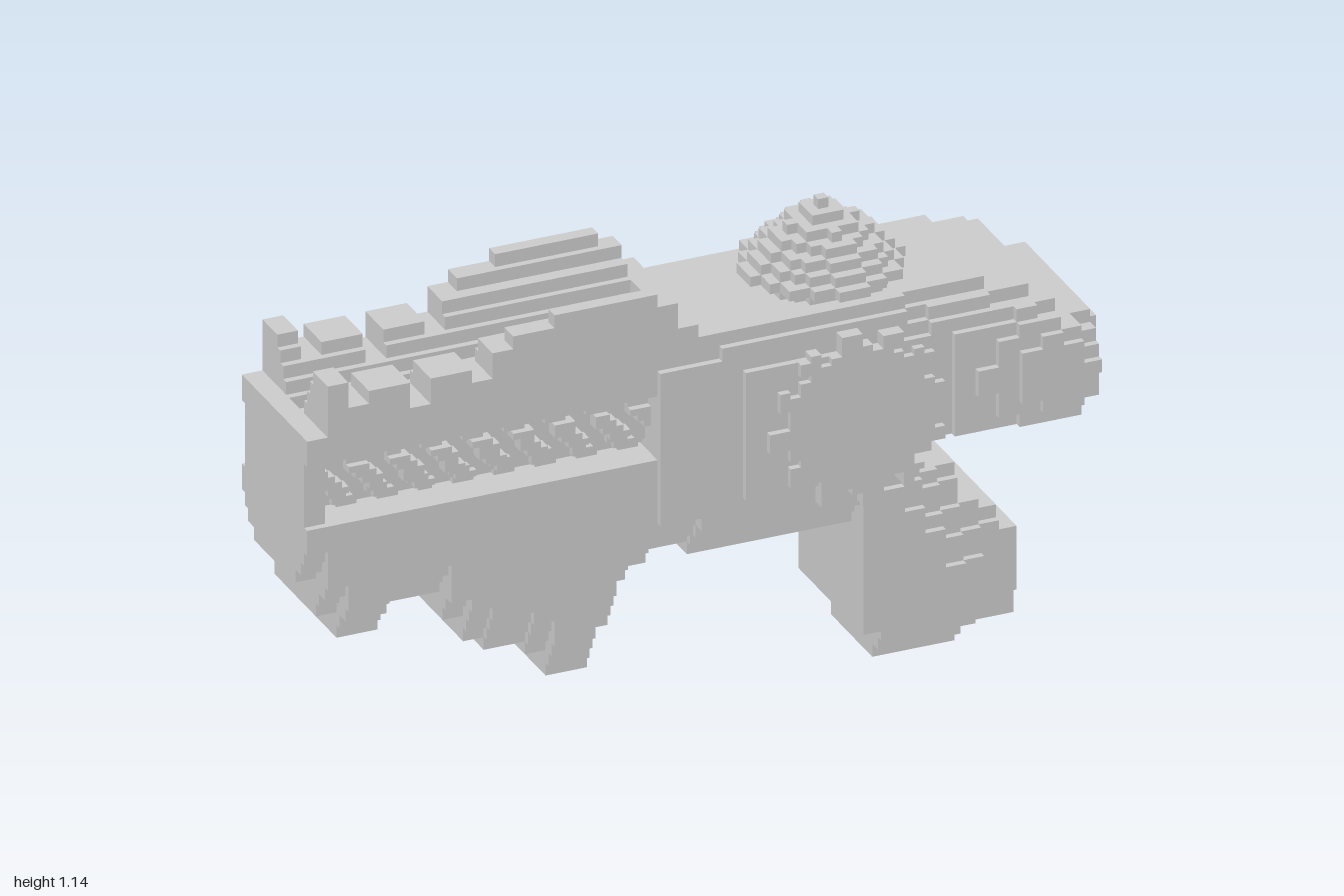
import * as THREE from 'three';
import { mergeGeometries } from 'three/addons/utils/BufferGeometryUtils.js';

const DX = 2 / 39, DY = 1.14 / 35, DZ = 1 / 60;
const clamp = (v) => Math.min(1, Math.max(0, v));
const ramp = (v, a, b) => clamp((v - a) / (b - a));
// Stepped profile: list of [x where the step ends, height]
const step = (list, x) => (list.find((s) => x < s[0]) || list[list.length - 1])[1];

const material = new THREE.MeshStandardMaterial({ color: 0xcccccc, flatShading: true });

// Fills a block grid. fn(x, y) gives [inner, outer] half depth in z, or null for empty.
// Equal neighbours along x join into one box; hollow cells are mirrored in z.
function blocks(name, [x0, x1, dx], [y0, y1, dy], fn) {
  const geos = [];
  const add = (a, b, y, za, zb) => geos.push(
    new THREE.BoxGeometry(b - a, dy, zb - za).translate((a + b) / 2, y, (za + zb) / 2));
  const nx = Math.round((x1 - x0) / dx), ny = Math.round((y1 - y0) / dy);
  for (let j = 0; j < ny; j++) {
    const y = y0 + (j + 0.5) * dy;
    let start = 0, last = null;
    for (let i = 0; i <= nx; i++) {
      const cell = i < nx ? fn(x0 + (i + 0.5) * dx, y) : null;
      const q = cell && cell.map((d) => Math.round(d / DZ) * DZ);
      if (String(q) === String(last)) continue;
      if (last && last[1] > last[0]) {
        const a = x0 + start * dx, b = x0 + i * dx;
        if (last[0] > 0) {
          add(a, b, y, last[0], last[1]);
          add(a, b, y, -last[1], -last[0]);
        } else add(a, b, y, -last[1], last[1]);
      }
      start = i;
      last = q;
    }
  }
  const mesh = new THREE.Mesh(mergeGeometries(geos), material);
  mesh.name = name;
  return mesh;
}

const bodyTop = [[-0.95, 0.88], [-0.9, 1.0], [-0.85, 0.945], [-0.74, 0.975], [-0.69, 0.91],
  [-0.58, 0.975], [-0.53, 0.93], [-0.47, 1.0], [-0.37, 1.04], [-0.14, 1.07], [-0.09, 1.04],
  [-0.03, 0.975], [0.7, 0.945], [0.78, 0.912], [0.83, 0.88], [0.88, 0.83], [0.945, 0.8], [1, 0.735]];
const bodyBottom = [[-0.95, 0.49], [-0.89, 0.4], [-0.79, 0.34], [-0.63, 0.4], [-0.57, 0.31],
  [-0.52, 0.25], [-0.46, 0.22], [-0.41, 0.19], [-0.36, 0.16], [-0.3, 0.13], [-0.25, 0.22],
  [-0.2, 0.34], [-0.14, 0.37], [-0.04, 0.4], [0.38, 0.37], [0.45, 0.42], [0.56, 0.54],
  [0.89, 0.585], [1, 0.62]];

function bodyDepth(x, y) {
  const top = step(bodyTop, x), bottom = step(bodyBottom, x);
  if (y > top || y < bottom) return null;
  if (x > 0.95) return [0, 0.1];
  let inner = 0, outer = 0.18;
  // chamfer along the underside
  if (x < 0.5) outer -= 0.065 * (1 - ramp(y, bottom, bottom + 0.1));
  // swelling toward the middle, then the bulged tail
  outer += 0.03 * ramp(x, -0.3, 0.08) * ramp(y, 0.42, 0.52) * (1 - ramp(y, 0.84, 0.94));
  if (x > 0.5) {
    const bulge = clamp(1 - ((y - 0.72) / 0.21) ** 2);
    outer += 0.065 * ramp(x, 0.5, 0.83) * bulge;
    if (x > 0.88) outer -= 0.03 + 0.07 * ramp(y, 0.72, 0.82);
    else outer -= 0.03 * (1 - ramp(top - y, 0, 0.06));
  }
  // side slot
  if (x < -0.14 && y > 0.66 && y < 0.82) return x < -0.95 ? [0, 0.165] : [0, 0.085];
  // valley between the two top rails, open in places
  if (x < -0.09 && x > -0.95 && y > 0.85) inner = 0.04 + 0.6 * Math.max(0, y - 0.88);
  if (x < -0.45 && x > -0.95 && y > 0.82 && Math.sin(x * 30) > 0) inner = Math.max(inner, 0.05);
  return [inner, Math.max(outer, inner + 0.03)];
}

const gripTop = [[0.56, 0.56], [0.62, 0.44], [0.67, 0.37], [0.72, 0.31], [0.79, 0.25]];
const gripBottom = [[0.46, 0.09], [0.62, 0], [0.79, 0.03]];

function gripDepth(x, y) {
  const top = step(gripTop, x), bottom = step(gripBottom, x);
  if (y > top || y < bottom) return null;
  // distance to the sloping rear edge sets the rounding
  const rear = Math.min(0.78, 0.57 + Math.max(0, 0.52 - y) * 0.72) - x;
  let d = 0.18 - 0.065 * (1 - ramp(rear, 0, 0.17));
  d -= 0.07 * (1 - ramp(y, 0, 0.1));
  return [0, Math.max(d, 0.1)];
}

// Round toothed plate on both sides
function gearDepth(x, y) {
  const u = x - 0.357, v = y - 0.678;
  const r = 0.2 + 0.018 * Math.sign(Math.sin(12 * Math.atan2(v, u)));
  return Math.hypot(u, v) < r ? [0, 0.2334] : null;
}

// Slanted strands inside the slot
function coilDepth(x, y) {
  const wave = (((x + y * 0.75) / 0.1) % 1 + 1) % 1;
  const round = 0.03 * (1 - ((y - 0.742) / 0.085) ** 2);
  return [0, 0.095 + round + (wave < 0.5 ? 0.02 : 0)];
}

// Stepped round knob, one disc of blocks per layer
function makeKnob() {
  const geos = [], c = 0.0257, h = 0.025;
  [0.15, 0.183, 0.16, 0.133, 0.107, 0.08, 0.05, 0.014].forEach((r, layer) => {
    for (let k = -7; k <= 7; k++) {
      const z = k * c;
      if (Math.abs(z) > r) continue;
      const half = (Math.round(Math.sqrt(r * r - z * z) / c - 0.5) + 0.5) * c;
      if (half <= 0) continue;
      geos.push(new THREE.BoxGeometry(half * 2, h, c).translate(0.36, 0.9525 + layer * h, z));
    }
  });
  const mesh = new THREE.Mesh(mergeGeometries(geos), material);
  mesh.name = 'topKnob';
  return mesh;
}

export function createModel() {
  const model = new THREE.Group();
  model.name = 'blockBlaster';
  model.add(
    blocks('body', [-1, 1, DX], [0, 1.14, DY], bodyDepth),
    blocks('grip', [-1 + 27 * DX, -1 + 35 * DX, DX], [0, 18 * DY, DY], gripDepth),
    blocks('sideGears', [0.13, 0.585, DX / 2], [0.44, 0.92, DY / 2], gearDepth),
    blocks('coil', [-0.95, -0.135, DX / 3], [0.66, 0.82, DY / 2], coilDepth),
    makeKnob(),
  );
  return model;
}
